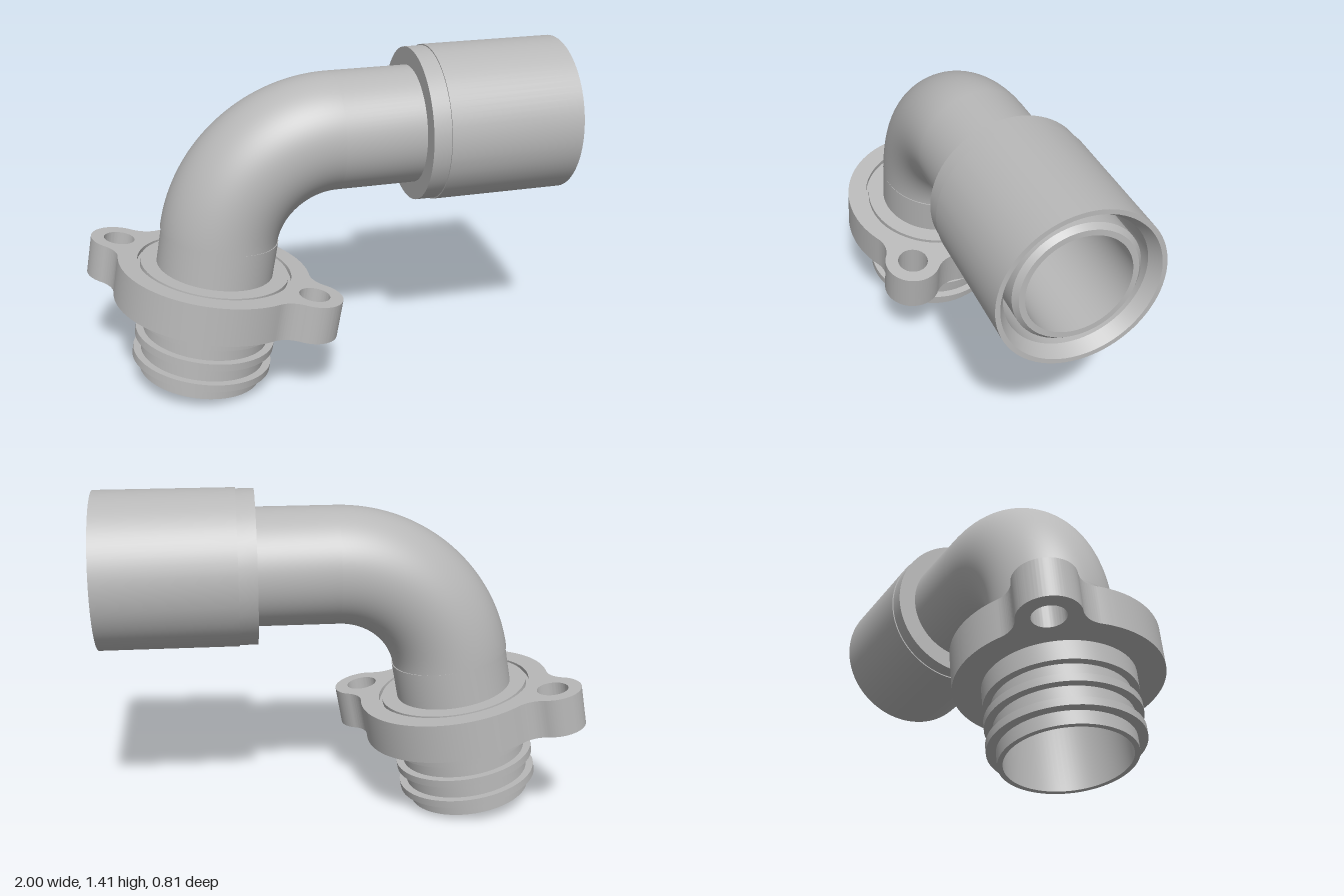
import * as THREE from 'three';
import { toCreasedNormals } from 'three/addons/utils/BufferGeometryUtils.js';

const TILT = THREE.MathUtils.degToRad(10);
const PIPE = 0.245, BORE = 0.205, BEND = 0.49;

// Revolve [radius, height] pairs about y, keeping edges sharp
function revolve(profile) {
  const points = profile.map(([r, h]) => new THREE.Vector2(r, h));
  return toCreasedNormals(new THREE.LatheGeometry(points, 80), 0.5);
}

// Round flange with two opposite ears, blended by concave fillets
function flangeShape() {
  const R = 0.405, ear = 0.12, fillet = 0.11, ex = -0.375, ey = 0.245;
  const d = Math.hypot(ex, ey);
  const a = Math.acos(((R + fillet) ** 2 + d * d - (ear + fillet) ** 2) / (2 * (R + fillet) * d));
  const shape = new THREE.Shape();
  for (const s of [1, -1]) {
    const c = new THREE.Vector2(ex * s, ey * s);
    const phi = Math.atan2(c.y, c.x);
    const at = (t) => new THREE.Vector2(Math.cos(t), Math.sin(t)).multiplyScalar(R + fillet);
    const dir = (from, to) => Math.atan2(to.y - from.y, to.x - from.x);
    const f1 = at(phi - a), f2 = at(phi + a);
    shape.absarc(f1.x, f1.y, fillet, phi - a + Math.PI, dir(f1, c), true);
    shape.absarc(c.x, c.y, ear, dir(c, f1), dir(c, f2), false);
    shape.absarc(f2.x, f2.y, fillet, dir(f2, c), phi + a + Math.PI, true);
    shape.absarc(0, 0, R, phi + a, phi + Math.PI - a, false);
    shape.holes.push(new THREE.Path().absarc(c.x, c.y, 0.065, 0, Math.PI * 2, true));
  }
  shape.holes.push(new THREE.Path().absarc(0, 0, 0.325, 0, Math.PI * 2, true));
  return shape;
}

export function createModel() {
  const model = new THREE.Group();
  model.name = 'pipeElbow';
  const grey = new THREE.MeshStandardMaterial({ color: 0xb8b8b8, side: THREE.DoubleSide });
  grey.name = 'grey';
  const add = (parent, name, geometry) => {
    const mesh = new THREE.Mesh(geometry, grey);
    mesh.name = name;
    parent.add(mesh);
    return mesh;
  };

  // Horizontal pipe with a socket collar around its open end
  const socket = revolve([
    [PIPE, 0.02], [PIPE, 0.355], [0.32, 0.355], [0.32, 0.43], [0.325, 0.43],
    [0.325, 1], [0.306, 1], [0.276, 0.95], [0.276, 0.5], [0.246, 0.5],
    [0.246, 0.955], [0.228, 0.975], [BORE, 0.975], [BORE, 0.02],
  ]);
  socket.rotateZ(-Math.PI / 2);
  add(model, 'socketPipe', socket).position.y = 1.085;

  // Bend, outside and bore
  for (const [name, r] of [['bendOuter', PIPE], ['bendBore', BORE]]) {
    const bend = new THREE.TorusGeometry(BEND, r, 80, 48, Math.PI / 2 - TILT);
    bend.rotateZ(Math.PI / 2);
    add(model, name, bend).position.set(0.02, 1.085 - BEND, 0);
  }

  // Tilted lower end
  const lower = new THREE.Group();
  lower.name = 'lowerEnd';
  lower.position.set(-0.57, 0.046, 0);
  lower.rotation.z = -TILT;
  model.add(lower);

  // Ribbed spigot, neck, grooved flange centre and pipe stub
  add(lower, 'spigot', revolve([
    [0.24, 0], [0.26, 0],
    [0.26, 0.055], [0.297, 0.055], [0.297, 0.087], [0.265, 0.087],
    [0.265, 0.152], [0.297, 0.152], [0.297, 0.184], [0.265, 0.184],
    [0.265, 0.245], [0.295, 0.245], [0.295, 0.325], [0.325, 0.325],
    [0.325, 0.47], [0.312, 0.47], [0.312, 0.49], [PIPE, 0.49],
    [PIPE, 0.644], [BORE, 0.644], [BORE, 0.6], [0.24, 0.45], [0.24, 0],
  ]));

  const flange = new THREE.ExtrudeGeometry(flangeShape(), {
    depth: 0.165, bevelEnabled: false, curveSegments: 40,
  });
  flange.rotateX(-Math.PI / 2);
  add(lower, 'flange', toCreasedNormals(flange, 0.5)).position.y = 0.325;

  return model;
}
